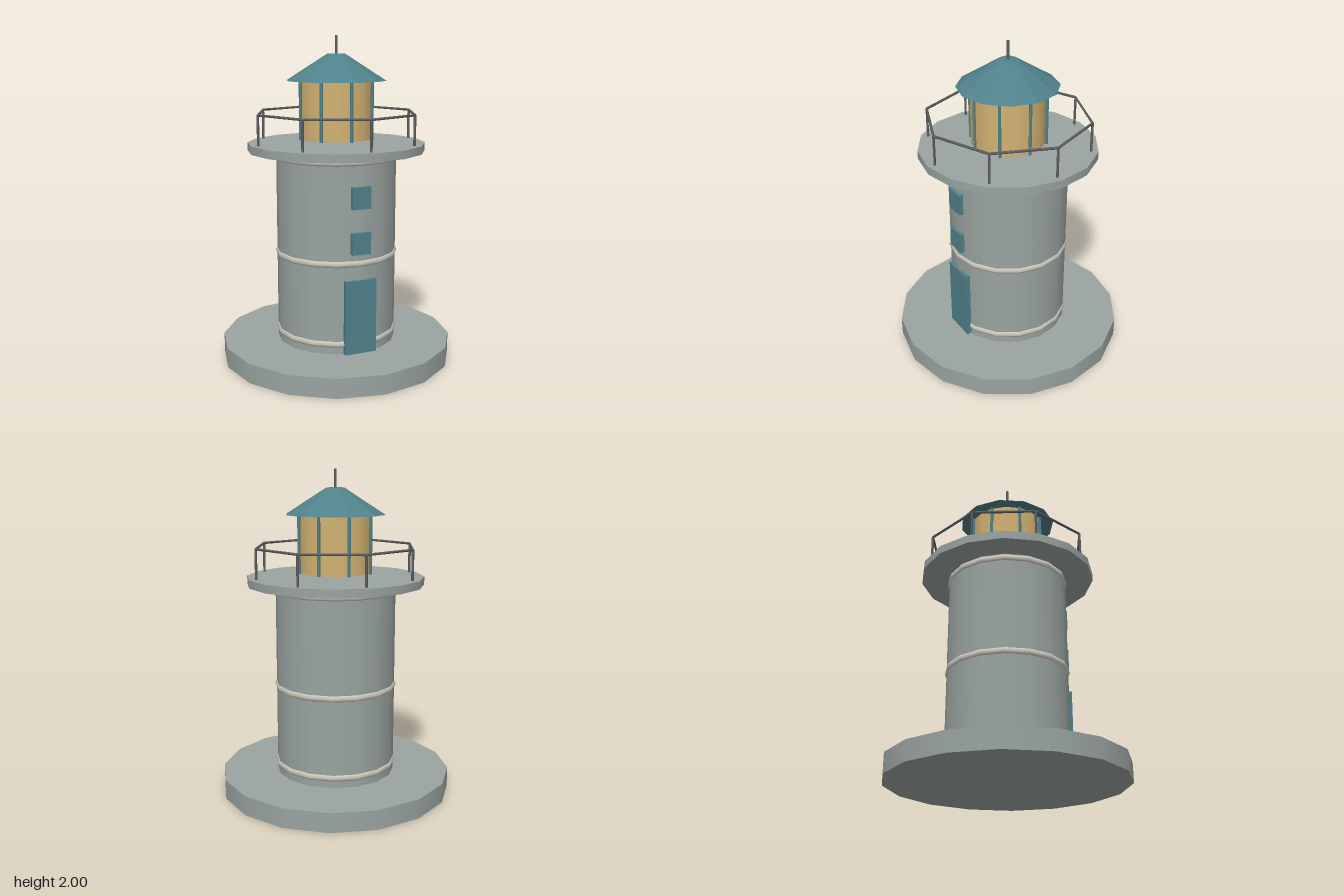
import * as THREE from 'three';

const material = (name, color, flatShading = false) => {
  const m = new THREE.MeshStandardMaterial({ color, flatShading });
  m.name = name;
  return m;
};

export function createModel() {
  const group = new THREE.Group();
  group.name = 'lighthouse';
  const stone = material('grey stone', 0x9aa4a1);
  const cream = material('cream trim', 0xcac6bb);
  const teal = material('teal paint', 0x50818a, true);
  const amber = material('amber glass', 0xd2b272);
  const iron = material('dark iron', 0x5c6062);

  const add = (name, geometry, mat, x = 0, y = 0, z = 0) => {
    const mesh = new THREE.Mesh(geometry, mat);
    mesh.name = name;
    mesh.position.set(x, y, z);
    group.add(mesh);
    return mesh;
  };
  // Upright cylinder between two heights
  const column = (name, mat, rTop, rBottom, y0, y1, sides, x = 0, z = 0) =>
    add(name, new THREE.CylinderGeometry(rTop, rBottom, y1 - y0, sides), mat, x, (y0 + y1) / 2, z);
  // Horizontal ring
  const ring = (name, mat, radius, tube, y, tubeSides, sides) => {
    const g = new THREE.TorusGeometry(radius, tube, tubeSides, sides);
    g.rotateX(Math.PI / 2);
    return add(name, g, mat, 0, y, 0);
  };

  // Plinth, tower and gallery floor
  column('plinth', stone, 0.72, 0.72, 0, 0.12, 16);
  column('tower', stone, 0.37, 0.37, 0.12, 1.302, 16);
  column('galleryDeck', stone, 0.545, 0.545, 1.305, 1.355, 16);

  // Trim bands around the tower
  for (const y of [0.18, 0.675, 1.278]) ring('trimBand', cream, 0.355, 0.025, y, 8, 16);

  // Door and windows on the front
  add('door', new THREE.BoxGeometry(0.2, 0.455, 0.03), teal, 0, 0.3475, 0.365);
  for (const y of [0.8, 1.072]) {
    add('window', new THREE.BoxGeometry(0.12, 0.132, 0.03), teal, 0, y, 0.37);
  }

  // Lantern room
  column('lanternGlass', amber, 0.225, 0.225, 1.38, 1.732, 16);

  // Glazing bars and railing posts, eight of each
  for (let i = 0; i < 8; i++) {
    const a = (i * Math.PI) / 4;
    const c = Math.cos(a), s = Math.sin(a);
    column('glazingBar', teal, 0.01, 0.01, 1.378, 1.732, 6, 0.232 * c, 0.232 * s);
    column('railingPost', iron, 0.008, 0.008, 1.355, 1.535, 6, 0.5 * c, 0.5 * s);
  }
  ring('handrail', iron, 0.5, 0.008, 1.537, 6, 8);

  // Roof and spike
  column('roof', teal, 0.055, 0.306, 1.73, 1.89, 12);
  column('roofSpike', iron, 0.008, 0.008, 1.88, 2, 8);

  return group;
}
